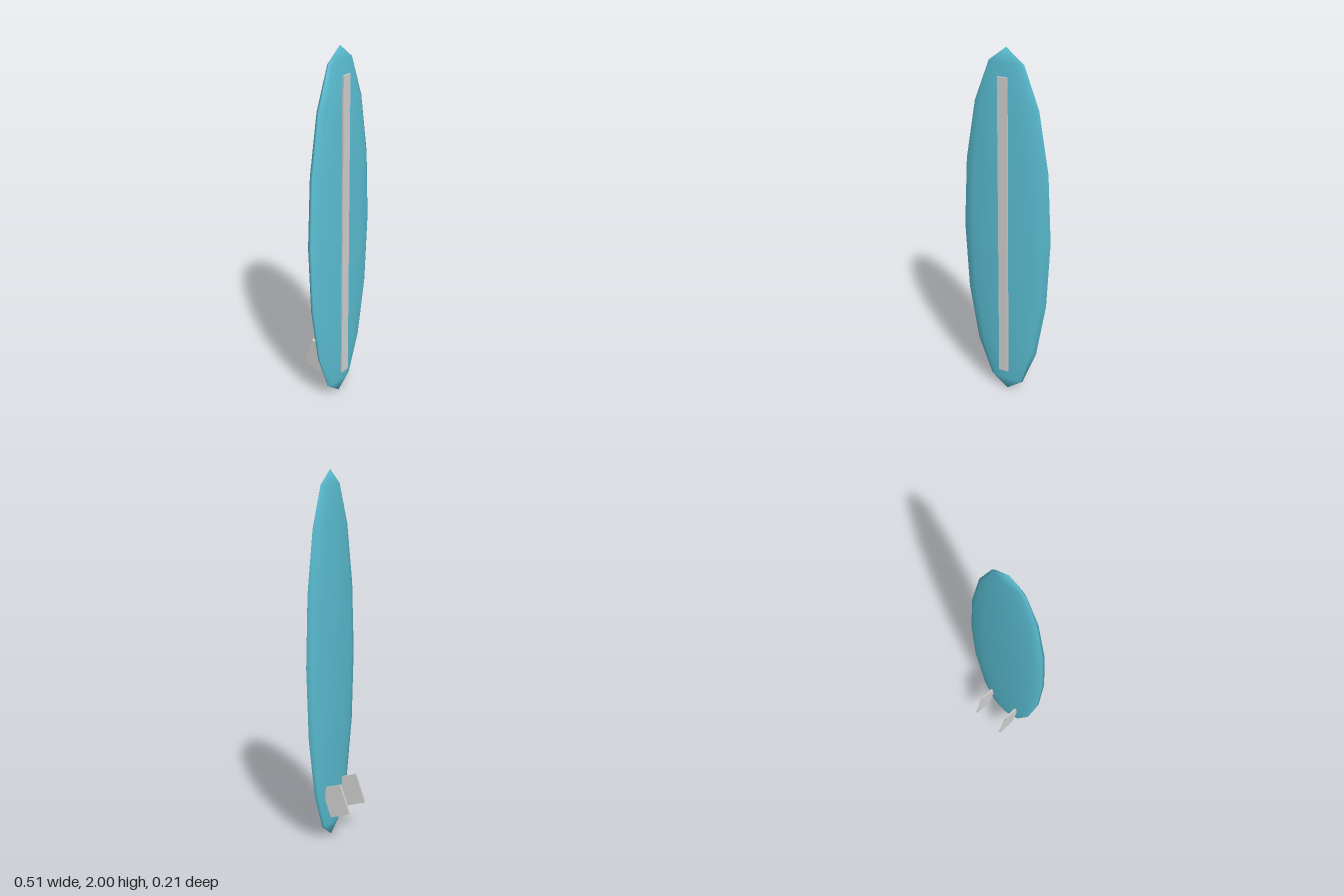
import * as THREE from 'three';

export function createModel() {
  const model = new THREE.Group();
  model.name = 'surfboard';

  const teal = new THREE.MeshStandardMaterial({ color: 0x5bc0d5 });
  teal.name = 'teal';
  const lightGrey = new THREE.MeshStandardMaterial({ color: 0xd2d2d2 });
  lightGrey.name = 'light grey';

  const midX = -0.0045; // the odd-sided hull sits slightly off centre

  const add = (name, geometry, material, x, y, z) => {
    const mesh = new THREE.Mesh(geometry, material);
    mesh.name = name;
    mesh.position.set(x, y, z);
    model.add(mesh);
    return mesh;
  };

  // Board: a coarse smooth ellipsoid standing on its tail, one vertex line on +x
  const hull = new THREE.SphereGeometry(1, 13, 8, Math.PI);
  add('board', hull, teal, midX, 1, 0.0605).scale.set(0.2585, 1, 0.0378);

  // Stringer strip down the deck
  add('stringer', new THREE.BoxGeometry(0.055, 1.712, 0.009), lightGrey, midX, 1.004, 0.1005);

  // Pair of raked fins on the underside near the tail
  for (const side of [-1, 1]) {
    const fin = add(side > 0 ? 'leftFin' : 'rightFin',
      new THREE.BoxGeometry(0.0125, 0.168, 0.12), lightGrey,
      midX + side * 0.093, 0.244, -0.021);
    fin.rotation.x = 0.345;
  }

  return model;
}
